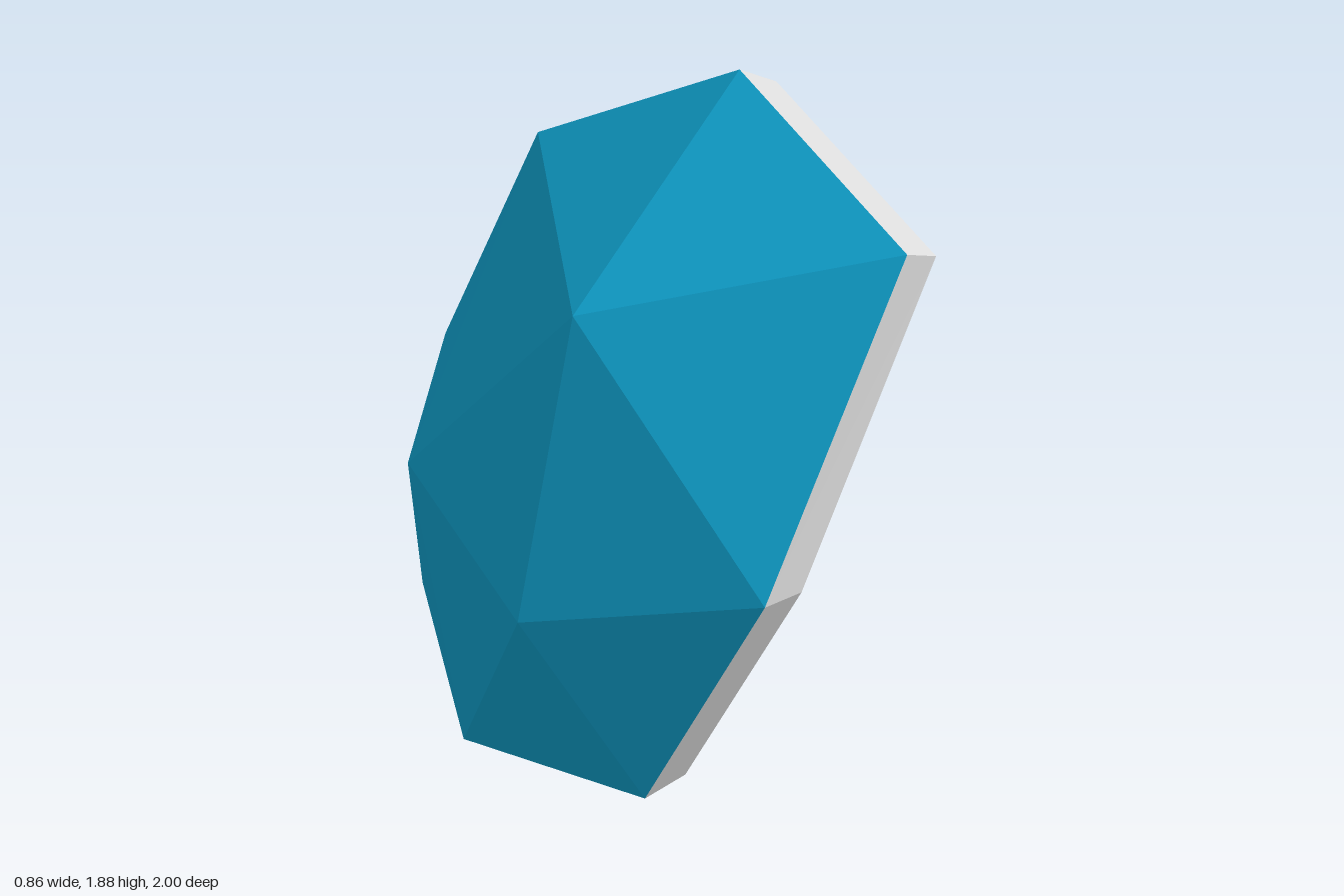
import * as THREE from 'three';

// Eight rim corners (clockwise seen from +x), then three bulge points
const OUTER = [
  [0.17, 1.65, 0.97], [0.27, 1.88, 0.315], [0.17, 1.585, -0.305], [0.30, 0.82, -0.885],
  [0.285, 0.0, -1.0], [-0.17, 0.025, -0.195], [-0.28, 0.31, 0.66], [-0.24, 0.945, 1.0],
  [-0.24, 1.41, 0.34], [-0.43, 0.705, 0.375], [-0.17, 0.74, -0.415],
];
const INNER = [
  [0.297, 1.605, 0.935], [0.393, 1.825, 0.308], [0.297, 1.545, -0.293], [0.43, 0.80, -0.848],
  [0.41, 0.018, -0.96], [-0.03, 0.037, -0.193], [-0.14, 0.312, 0.642], [-0.10, 0.922, 0.967],
  [-0.11, 1.41, 0.333], [-0.30, 0.707, 0.383], [-0.05, 0.737, -0.41],
];
// Facets joining the rim corners (0-7) to the bulge points (8-10)
const FACETS = [
  [0, 1, 8], [1, 2, 8], [7, 0, 8], [2, 10, 8], [8, 10, 9], [7, 8, 9],
  [2, 3, 10], [3, 4, 10], [4, 5, 10], [5, 9, 10], [5, 6, 9], [6, 7, 9],
];

// Unshared triangles give flat facets
function facetedMesh(name, triangles, material) {
  const geometry = new THREE.BufferGeometry();
  geometry.setAttribute('position', new THREE.Float32BufferAttribute(triangles.flat(2), 3));
  geometry.computeVertexNormals();
  const mesh = new THREE.Mesh(geometry, material);
  mesh.name = name;
  return mesh;
}

export function createModel() {
  const blue = new THREE.MeshStandardMaterial({ color: 0x10a4d1 });
  blue.name = 'blue';
  const grey = new THREE.MeshStandardMaterial({ color: 0xdcdcdc });
  grey.name = 'light grey';

  // Bulging outside and hollow inside
  const outside = FACETS.map((f) => f.map((i) => OUTER[i]));
  const inside = FACETS.map(([a, b, c]) => [INNER[a], INNER[c], INNER[b]]);

  // Rim band between the two skins
  const rim = [];
  for (let i = 0; i < 8; i++) {
    const j = (i + 1) % 8;
    rim.push([OUTER[i], INNER[i], INNER[j]], [OUTER[i], INNER[j], OUTER[j]]);
  }

  const group = new THREE.Group();
  group.name = 'facetedShell';
  group.add(
    facetedMesh('outerSkin', outside, blue),
    facetedMesh('innerSkin', inside, grey),
    facetedMesh('rim', rim, grey),
  );
  return group;
}
